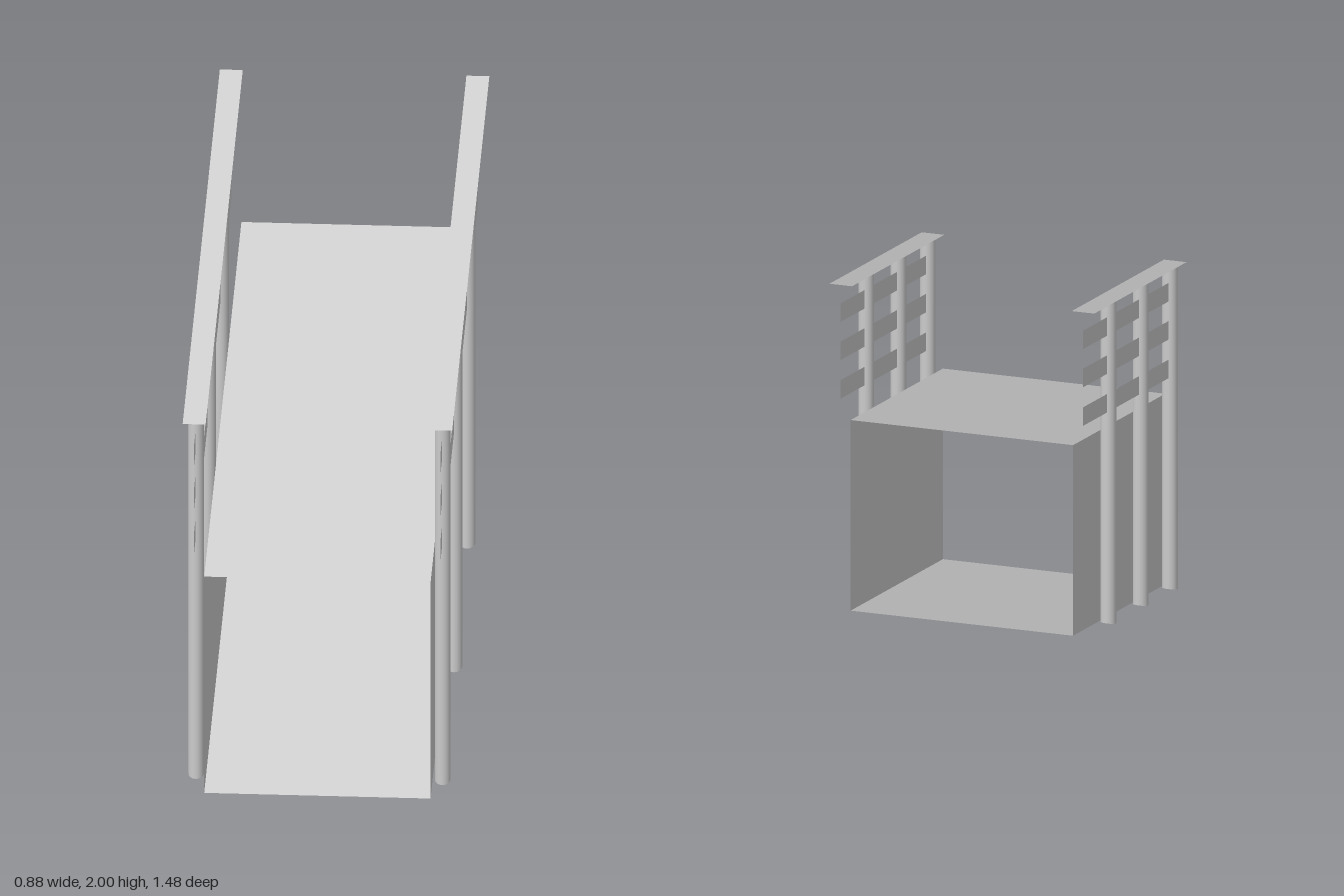
import * as THREE from 'three';

const W = 0.74, H = 0.74, L = 1.48; // chute width, height, length
const RAIL_X = 0.403;

const material = new THREE.MeshStandardMaterial({ color: 0xcccccc, side: THREE.DoubleSide });

// Everything climbs toward the back at a 1:2 slope while uprights stay vertical.
const slope = new THREE.Matrix4().set(
  1, 0, 0, 0,
  0, 1, -0.5, L / 4,
  0, 0, 1, 0,
  0, 0, 0, 1
);

function addPart(parent, name, geometry, x, y, z) {
  geometry.translate(x, y, z);
  geometry.applyMatrix4(slope);
  const mesh = new THREE.Mesh(geometry, material);
  mesh.name = name;
  parent.add(mesh);
}

// Thin sheets running the full length: lying flat or standing upright
const flatSheet = (width) => new THREE.PlaneGeometry(width, L).rotateX(-Math.PI / 2);
const uprightSheet = (height, side) => new THREE.PlaneGeometry(L, height).rotateY(side * Math.PI / 2);

export function createModel() {
  const model = new THREE.Group();
  model.name = 'inclinedWalkway';

  // Hollow chute, open at both ends
  const chute = new THREE.Group();
  chute.name = 'chute';
  model.add(chute);
  addPart(chute, 'floor', flatSheet(W).rotateZ(Math.PI), 0, 0, 0);
  addPart(chute, 'deck', flatSheet(W), 0, H, 0);

  for (const side of [1, -1]) {
    const label = side > 0 ? 'left' : 'right';
    addPart(chute, label + 'Wall', uprightSheet(H, side), side * W / 2, H / 2, 0);

    const railing = new THREE.Group();
    railing.name = label + 'Railing';
    model.add(railing);

    // Round posts with ends cut along the slope
    for (const z of [0.657, 0.186, -0.33]) {
      addPart(railing, 'post', new THREE.CylinderGeometry(0.026, 0.026, 1.26, 16), side * RAIL_X, 0.63, z);
    }

    // Three slats and a flat handrail
    for (const y of [0.855, 1.005, 1.153]) {
      addPart(railing, 'slat', uprightSheet(0.072, side), side * RAIL_X, y, 0);
    }
    addPart(railing, 'handrail', flatSheet(0.075), side * RAIL_X, 1.26, 0);
  }
  return model;
}
